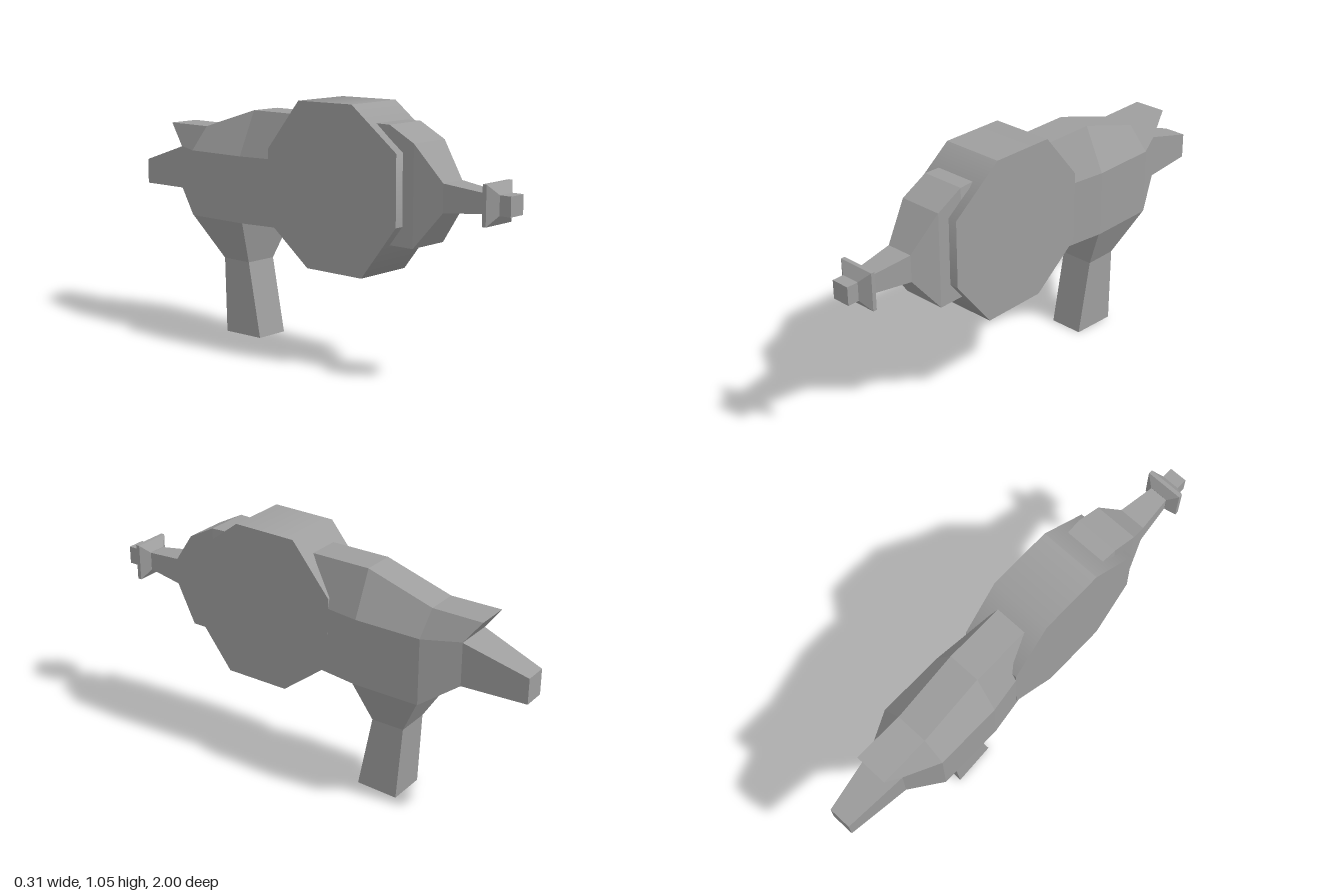
import * as THREE from 'three';

const material = new THREE.MeshStandardMaterial({ color: 0x9e9e9e });

// Facing direction of a four-cornered panel, from its diagonals.
function panelNormal(a, b, c, d) {
  const [p, q, r, s] = [a, b, c, d].map((v) => new THREE.Vector3(...v));
  return r.sub(p).cross(s.sub(q)).normalize();
}

// Skins a list of rings of [x, y, z] points, each counter-clockwise seen from the far end.
// Panels are flat shaded, except across the corners that isSoft picks.
function loft(name, rings, isSoft = () => false) {
  const pos = [], norm = [];
  const panel = (corners, normals) => {
    for (const k of [0, 1, 2, 0, 2, 3]) {
      pos.push(...corners[k]);
      norm.push(...normals[k].toArray());
    }
  };
  const flat = (...corners) => panel(corners, Array(4).fill(panelNormal(...corners)));
  const n = rings[0].length;
  for (let r = 0; r < rings.length - 1; r++) {
    const a = rings[r], b = rings[r + 1];
    const quads = a.map((p, i) => [p, a[(i + 1) % n], b[(i + 1) % n], b[i]]);
    const faces = quads.map((q) => panelNormal(...q));
    const blend = (i, j) => faces[i].clone().add(faces[j]).normalize();
    quads.forEach((q, i) => {
      const next = (i + 1) % n, prev = (i + n - 1) % n;
      const n0 = isSoft(i) ? blend(i, prev) : faces[i];
      const n1 = isSoft(next) ? blend(i, next) : faces[i];
      panel(q, [n0, n1, n1, n0]);
    });
  }
  // End caps, filled in strips between opposite sides
  const start = rings[0], end = rings[rings.length - 1];
  for (let i = 0; i < n / 2 - 1; i++) {
    const k = n - 1 - i;
    flat(end[i], end[i + 1], end[k - 1], end[k]);
    flat(start[k], start[k - 1], start[i + 1], start[i]);
  }
  const geometry = new THREE.BufferGeometry();
  geometry.setAttribute('position', new THREE.Float32BufferAttribute(pos, 3));
  geometry.setAttribute('normal', new THREE.Float32BufferAttribute(norm, 3));
  const mesh = new THREE.Mesh(geometry, material);
  mesh.name = name;
  return mesh;
}

// Mirrors one side's points (bottom to top) into a full ring.
const mirrored = (side) => [...side, ...side.map(([x, y, z]) => [-x, y, z]).reverse()];

// Rectangular ring across z.
const rect = ([z, w, y0, y1]) => mirrored([[w, y0, z], [w, y1, z]]);

// Six-sided body ring: upright flank, then a shoulder sloping to the top.
const bodyRing = ([z, w, yBottom, topW, topY, topZ = z]) =>
  mirrored([[w, yBottom, z], [w, 0.797, z], [topW, topY, topZ]]);

export function createModel() {
  const model = new THREE.Group();
  model.name = 'toyBlaster';

  // Main body, from the raised rear fin to the nose block
  model.add(loft('body', [
    [-0.73, 0.085, 0.61, 0.072, 0.895, -0.805],
    [-0.583, 0.157, 0.512, 0.07, 0.895],
    [-0.29, 0.157, 0.512, 0.07, 0.985],
    [0, 0.115, 0.512, 0.07, 0.985],
    [0.47, 0.096, 0.512, 0.096, 0.983],
    [0.59, 0.096, 0.512, 0.096, 0.92],
  ].map(bodyRing)));

  // Tapered tail
  model.add(loft('tail', [
    [-1, 0.05, 0.6, 0.71],
    [-0.73, 0.085, 0.61, 0.795],
  ].map(rect)));

  // Nose cone and barrel
  model.add(loft('barrel', [
    [0.59, 0.096, 0.512, 0.92],
    [0.705, 0.06, 0.66, 0.775],
    [0.88, 0.04, 0.677, 0.755],
    [1, 0.04, 0.677, 0.755],
  ].map(rect)));

  // Square flange near the muzzle
  model.add(loft('muzzleFlange', [
    [0.875, 0.042, 0.675, 0.757],
    [0.903, 0.083, 0.636, 0.796],
    [0.92, 0.083, 0.636, 0.796],
    [0.95, 0.04, 0.677, 0.755],
  ].map(rect)));

  // Eight-sided drum lying across the body, as [z, y]; every other corner is soft
  const outline = [
    [0.538, 0.592], [0.365, 0.368], [0.075, 0.368], [-0.143, 0.537],
    [-0.145, 0.84], [0.027, 1.05], [0.31, 1.053], [0.537, 0.88],
  ];
  const drumRings = [-0.136, 0.136].map((x) => outline.map(([z, y]) => [x, y, z]));
  model.add(loft('drum', drumRings, (corner) => corner % 2 === 1));

  // Grip, flaring into the body: [y, front z, front half width, back z, back half width]
  model.add(loft('grip', [
    [0, -0.26, 0.075, -0.452, 0.085],
    [0.325, -0.325, 0.075, -0.472, 0.075],
    [0.512, -0.28, 0.157, -0.58, 0.157],
  ].map(([y, zf, wf, zb, wb]) => [[wf, y, zf], [wb, y, zb], [-wb, y, zb], [-wf, y, zf]])));

  return model;
}
